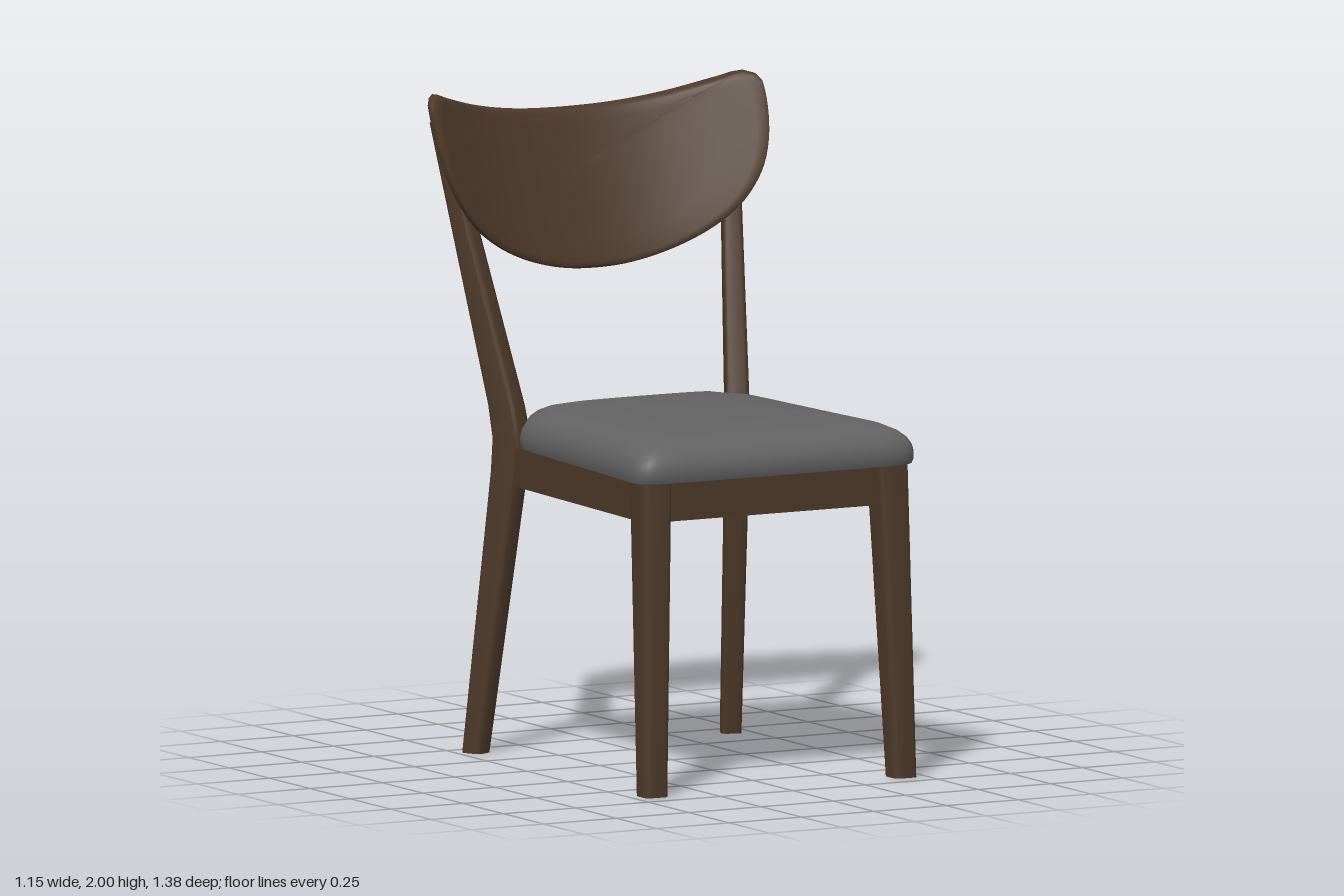
import * as THREE from 'three';
import { toCreasedNormals } from 'three/addons/utils/BufferGeometryUtils.js';

// Skin a stack of equal-length rings, closing both ends at their centroids.
function loft(rings, crease = 0.7) {
  const centroid = (r) => {
    const c = r.reduce((s, p) => s.add(p), new THREE.Vector3()).divideScalar(r.length);
    return r.map(() => c);
  };
  const all = [centroid(rings[0]), ...rings, centroid(rings[rings.length - 1])];
  const n = rings[0].length;
  const pos = [];
  const tri = (...pts) => pts.forEach((p) => pos.push(p.x, p.y, p.z));
  for (let i = 0; i < all.length - 1; i++) {
    for (let j = 0; j < n; j++) {
      const k = (j + 1) % n;
      const a = all[i][j], b = all[i][k], c = all[i + 1][k], d = all[i + 1][j];
      if (i < all.length - 2) tri(a, c, d);
      if (i > 0) tri(a, b, c);
    }
  }
  const g = new THREE.BufferGeometry();
  g.setAttribute('position', new THREE.Float32BufferAttribute(pos, 3));
  return toCreasedNormals(g, crease);
}

// Smooth closed outline from its right half, starting and ending on the centre line.
function mirroredOutline(half, count) {
  const left = half.filter(([x]) => x > 0).reverse().map(([x, y]) => [-x, y]);
  const pts = [...half, ...left].map(([x, y]) => new THREE.Vector3(x, y, 0));
  return new THREE.CatmullRomCurve3(pts, true, 'centripetal').getSpacedPoints(count).slice(0, count);
}

// Horizontal rounded-rectangle section of a leg, turned about y.
function section({ x, y, z, w, d, turn = 0, tilt = 0 }) {
  const r = 0.014, ring = [];
  for (let q = 0; q < 4; q++) {
    const sx = q === 0 || q === 3 ? 1 : -1, sz = q < 2 ? 1 : -1;
    for (let k = 0; k <= 3; k++) {
      const t = (q + k / 3) * Math.PI / 2;
      const u = sx * (w / 2 - r) + r * Math.cos(t);
      const v = -(sz * (d / 2 - r) + r * Math.sin(t));
      ring.push(new THREE.Vector3(
        x + u * Math.cos(turn) + v * Math.sin(turn),
        y + tilt * v,
        z - u * Math.sin(turn) + v * Math.cos(turn)));
    }
  }
  return ring;
}

export function createModel() {
  const wood = new THREE.MeshStandardMaterial({ color: 0x4d3929 });
  wood.name = 'darkWood';
  const fabric = new THREE.MeshStandardMaterial({ color: 0x626262 });
  fabric.name = 'greyUpholstery';
  const lining = new THREE.MeshStandardMaterial({ color: 0x121212 });
  lining.name = 'blackLining';

  const chair = new THREE.Group();
  chair.name = 'chair';
  const add = (name, geometry, material) => {
    const m = new THREE.Mesh(geometry, material);
    m.name = name;
    chair.add(m);
    return m;
  };

  // Legs: tapered front pair, bent rear pair rising into the back posts
  for (const [side, s] of [['left', 1], ['right', -1]]) {
    add(`${side}FrontLeg`, loft([
      { x: s * 0.43, y: 0, z: 0.648, w: 0.075, d: 0.075 },
      { x: s * 0.408, y: 0.955, z: 0.6, w: 0.098, d: 0.1 },
    ].map(section)), wood);

    const turn = -s * 0.42;
    add(`${side}RearLegAndPost`, loft([
      { x: s * 0.44, y: 0, z: -0.425, w: 0.062, d: 0.07, turn },
      { x: s * 0.393, y: 0.87, z: -0.302, w: 0.07, d: 0.1, turn },
      { x: s * 0.39, y: 0.97, z: -0.292, w: 0.07, d: 0.106, turn },
      { x: s * 0.397, y: 1.07, z: -0.312, w: 0.07, d: 0.1, turn },
      { x: s * 0.498, y: 1.915, z: -0.543, w: 0.056, d: 0.05, turn, tilt: 0.3 },
    ].map(section)), wood);

    // Side rail, converging towards the rear
    const rail = add(`${side}SideRail`, new THREE.BoxGeometry(0.04, 0.12, 0.88), wood);
    rail.position.set(s * 0.402, 0.89, 0.155);
    rail.rotation.y = s * 0.04;
  }

  // Front and rear rails
  add('frontRail', new THREE.BoxGeometry(0.76, 0.12, 0.04), wood).position.set(0, 0.89, 0.61);
  add('rearRail', new THREE.BoxGeometry(0.74, 0.12, 0.04), wood).position.set(0, 0.89, -0.3);

  // Lining under the seat
  const liningCorners = [[0.41, 0.6], [0.375, -0.29], [-0.375, -0.29], [-0.41, 0.6]];
  add('seatLining', loft([0.938, 0.946].map((y) =>
    liningCorners.map(([x, z]) => new THREE.Vector3(x, y, z)))), lining);

  // Domed cushion, notched around the posts (outline is x, -z)
  const seatOutline = mirroredOutline([
    [0, -0.685], [0.25, -0.683], [0.43, -0.675], [0.47, -0.655], [0.48, -0.6], [0.465, -0.4],
    [0.44, -0.05], [0.421, 0.17], [0.405, 0.215], [0.37, 0.25], [0.345, 0.29],
    [0.325, 0.328], [0.27, 0.343], [0, 0.352],
  ], 120);
  const seatRings = [
    [0.97, 0.95], [0.99, 0.953], [1, 0.968], [1, 0.99], [0.99, 1.012], [0.965, 1.033], [0.92, 1.052],
    [0.85, 1.068], [0.72, 1.083], [0.55, 1.094], [0.35, 1.102], [0.15, 1.105],
  ];
  add('seatCushion', loft(seatRings.map(([k, y]) => seatOutline.map((p) =>
    new THREE.Vector3(p.x * k, y, 0.17 + (-p.y - 0.17) * k))), 0.9), fabric);

  // Backrest: reclined, curved panel with a rounded front edge
  const backOutline = mirroredOutline([
    [0, 1.44], [0.12, 1.449], [0.25, 1.483], [0.37, 1.54], [0.46, 1.61], [0.53, 1.71],
    [0.565, 1.82], [0.575, 1.95], [0.568, 1.985], [0.535, 2.0], [0.48, 1.983],
    [0.33, 1.94], [0.17, 1.913], [0, 1.905],
  ], 120);
  const midY = 1.72;
  // Each ring: outline scale, share of the panel thickness
  const backRings = [
    [0.15, 0], [0.35, 0], [0.55, 0], [0.75, 0], [0.9, 0], [0.99, 0],
    [1, 0.15], [1, 0.45], [0.992, 0.75], [0.97, 0.95],
    [0.93, 1], [0.75, 1], [0.55, 1], [0.35, 1], [0.15, 1],
  ];
  add('backrest', loft(backRings.map(([k, t]) => backOutline.map((p) => {
    const x = p.x * k, y = midY + (p.y - midY) * k;
    const rear = -0.49 - 0.433 * (y - 1.44) + 0.7 * x * x;
    const thickness = 0.03 + 0.035 * (y - 1.44);
    return new THREE.Vector3(x, y, rear + t * thickness);
  })), 0.8), wood);

  return chair;
}
